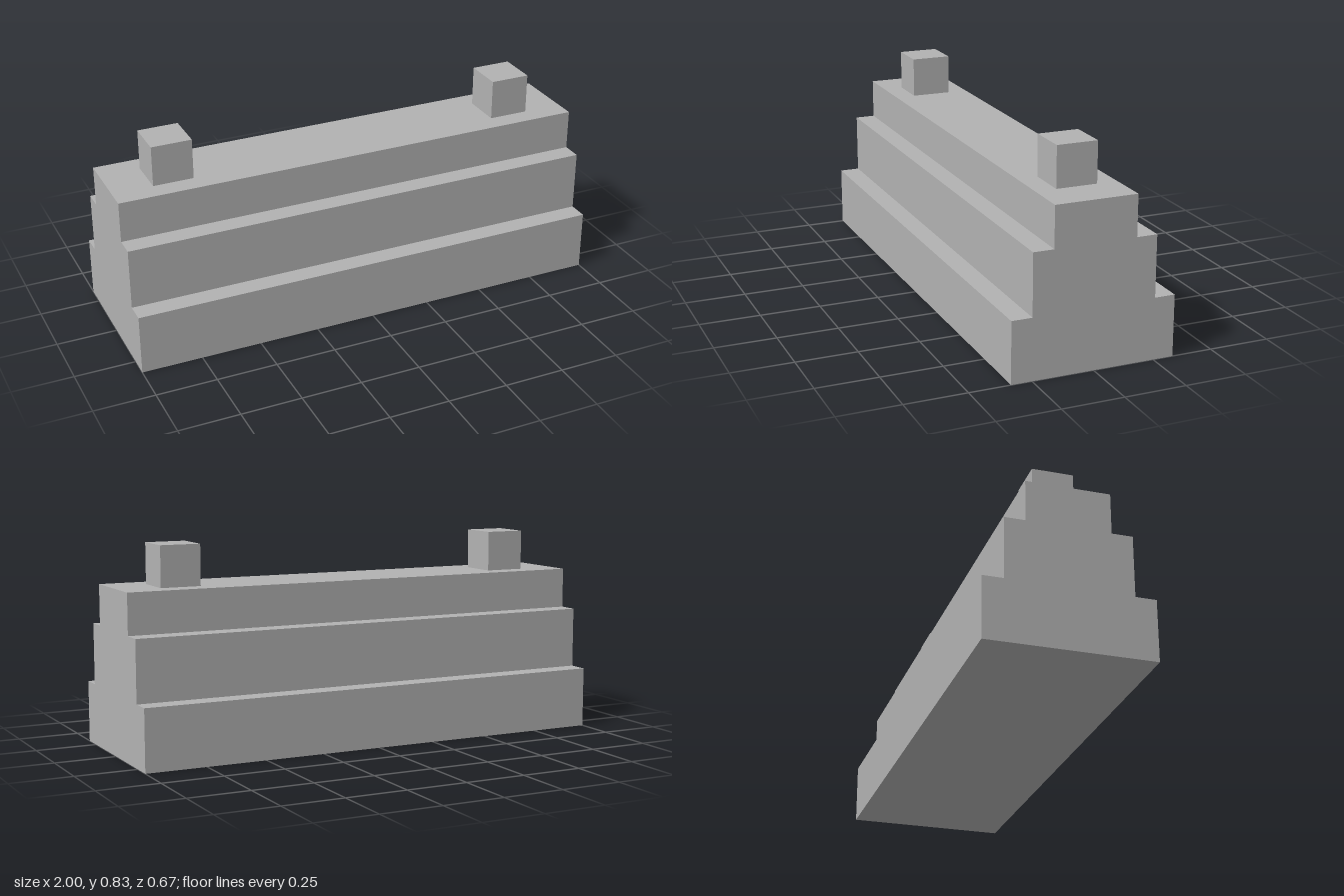
import * as THREE from 'three';

export function createModel() {
  const group = new THREE.Group();
  const grey = new THREE.MeshStandardMaterial({ color: 0xb2b2b2 });
  grey.name = 'grey';

  // Stepped wall: half-width and top height of each tier, bottom to top
  const tiers = [[0.3333, 0.25], [0.25, 0.5], [0.1667, 0.6667]];
  const side = [];
  let bottom = 0;
  for (const [halfWidth, top] of tiers) {
    side.push([halfWidth, bottom], [halfWidth, top]);
    bottom = top;
  }
  const outline = [...side, ...side.map(([x, y]) => [-x, y]).reverse()];
  const profile = new THREE.Shape(outline.map(([x, y]) => new THREE.Vector2(x, y)));
  const wallGeometry = new THREE.ExtrudeGeometry(profile, { depth: 2, bevelEnabled: false });
  wallGeometry.translate(0, 0, -1).rotateY(Math.PI / 2);
  const wall = new THREE.Mesh(wallGeometry, grey);
  wall.name = 'steppedWall';
  group.add(wall);

  // Cube posts near both ends of the top
  const size = 0.1667;
  const postGeometry = new THREE.BoxGeometry(size, size, size);
  for (const [name, sign] of [['leftPost', 1], ['rightPost', -1]]) {
    const post = new THREE.Mesh(postGeometry, grey);
    post.name = name;
    post.position.set(sign * 0.75, 0.6667 + size / 2, 0);
    group.add(post);
  }
  return group;
}
